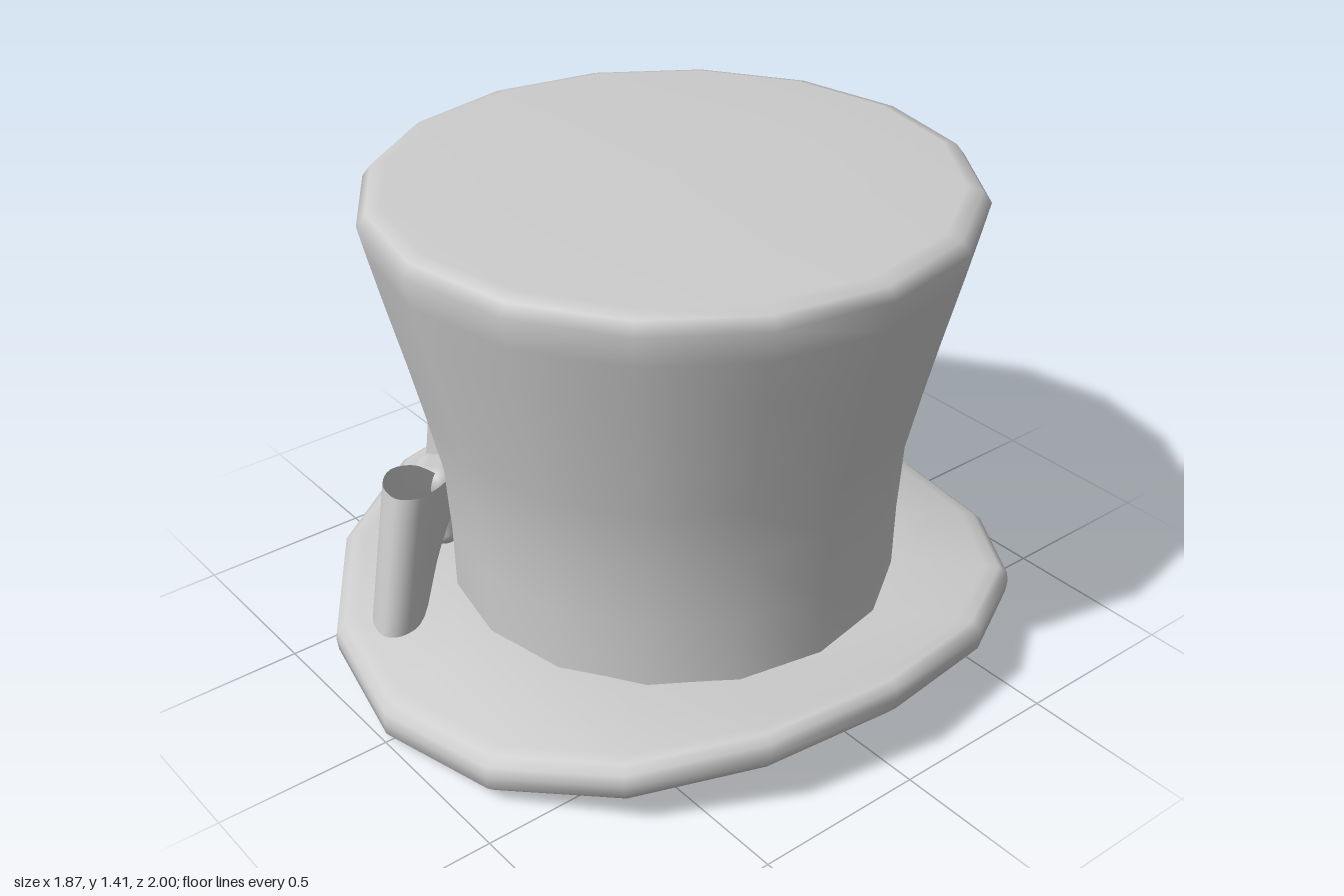
import * as THREE from 'three';
import { RoundedBoxGeometry } from 'three/addons/geometries/RoundedBoxGeometry.js';

const SIDES = 16;

const material = (side = THREE.FrontSide) => new THREE.MeshStandardMaterial({ color: 0xcccccc, side });

// Skins a grid of rows; point(i, j) returns [x, y, z]; closed rows wrap around
function skin(rows, cols, point, closed) {
  const positions = [], index = [];
  for (let i = 0; i < rows; i++) for (let j = 0; j < cols; j++) positions.push(...point(i, j));
  for (let i = 0; i < rows - 1; i++) {
    for (let j = 0; j < (closed ? cols : cols - 1); j++) {
      const k = (j + 1) % cols;
      const a = i * cols + j, b = a + cols, c = i * cols + k, d = c + cols;
      index.push(a, b, d, a, d, c);
    }
  }
  const geometry = new THREE.BufferGeometry();
  geometry.setAttribute('position', new THREE.Float32BufferAttribute(positions, 3));
  geometry.setIndex(index);
  geometry.computeVertexNormals();
  return geometry;
}

// Rings slightly flattened at the sides; each row is [radius, height at front and back, height at the sides]
function rings(rows, flatten = 0) {
  return skin(rows.length, SIDES, (i, j) => {
    const [r, yFront, ySide = yFront] = rows[i];
    const angle = (j / SIDES) * Math.PI * 2, s = Math.sin(angle);
    return [r * s * (1 - flatten * s * s), yFront + (ySide - yFront) * s * s, r * Math.cos(angle)];
  }, true);
}

function named(name, geometry, mat = material()) {
  const mesh = new THREE.Mesh(geometry, mat);
  mesh.name = name;
  return mesh;
}

// Open ribbon loop: path points are [along, outward, bottom, top], mirrored by sign
function bowLoop(sign) {
  const path = [
    [0.04, 0.70, 0.25, 0.44], [0.14, 0.745, 0.21, 0.53], [0.26, 0.785, 0.185, 0.585],
    [0.375, 0.78, 0.18, 0.603], [0.445, 0.73, 0.18, 0.605], [0.435, 0.67, 0.182, 0.602],
    [0.36, 0.635, 0.188, 0.59], [0.18, 0.645, 0.22, 0.51], [0.04, 0.66, 0.25, 0.43],
  ];
  const curve = (a, b) => new THREE.CatmullRomCurve3(
    path.map(p => new THREE.Vector3(p[a], p[b], 0)), false, 'catmullrom');
  const along = curve(0, 1), edges = curve(2, 3);
  const steps = 28, across = 7;
  return skin(steps + 1, across, (i, j) => {
    const p = along.getPoint(i / steps), e = edges.getPoint(i / steps);
    const v = j / (across - 1), lean = 0.5 - v;
    // a shallow crease runs out from the knot; the top leans in and is a little shorter
    const crease = 0.03 * Math.sin(Math.PI * v) * Math.max(0, 1 - p.x / 0.3);
    return [sign * p.x * (1 + 0.12 * lean), e.x + (e.y - e.x) * v, p.y + 0.05 * lean - crease];
  }, false);
}

export function createModel() {
  const hat = new THREE.Group();
  hat.name = 'topHat';

  // Flared crown with a softened top edge
  hat.add(named('crown', rings([
    [0, 1.412], [0.4, 1.41], [0.77, 1.402], [0.812, 1.39], [0.836, 1.358], [0.816, 1.27],
    [0.785, 1.14], [0.735, 0.94], [0.697, 0.78], [0.657, 0.6], [0.645, 0.4], [0.64, 0.14],
  ])));

  // Brim curled up at the sides, with a rolled edge and a recessed underside
  hat.add(named('brim', rings([
    [0.58, 0.215, 0.2], [0.7, 0.205, 0.212], [0.84, 0.168, 0.238], [0.93, 0.135, 0.27],
    [0.97, 0.122, 0.28], [0.995, 0.1, 0.265], [1, 0.07, 0.235], [0.995, 0.03, 0.2],
    [0.965, 0.003, 0.168], [0.9, 0.006, 0.138], [0.78, 0.022, 0.108], [0.67, 0.045, 0.085],
    [0.6, 0.12, 0.13], [0.4, 0.14, 0.14], [0, 0.15, 0.15],
  ], 0.065)));

  // Bow at the right front
  const bow = new THREE.Group();
  bow.name = 'bow';
  bow.rotation.y = -Math.PI / 4;
  for (const [sign, name] of [[1, 'leftBowLoop'], [-1, 'rightBowLoop']]) {
    bow.add(named(name, bowLoop(sign), material(THREE.DoubleSide)));
  }
  const knot = named('bowKnot', new RoundedBoxGeometry(0.16, 0.26, 0.14, 4, 0.05));
  knot.position.set(0, 0.335, 0.695);
  bow.add(knot);
  hat.add(bow);

  return hat;
}
